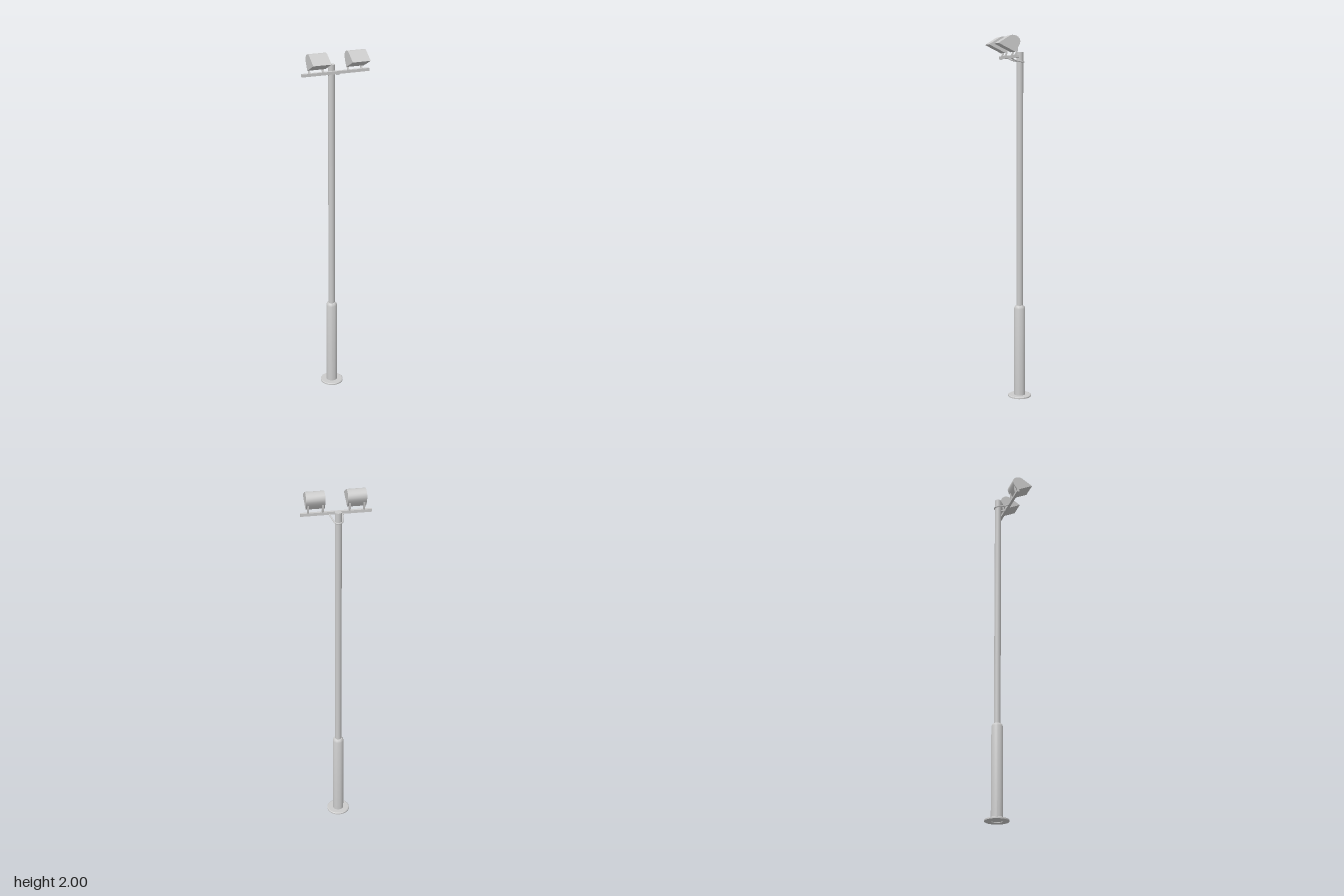
import * as THREE from 'three';
import { toCreasedNormals } from 'three/addons/utils/BufferGeometryUtils.js';

const POLE_Z = -0.047;
const material = new THREE.MeshStandardMaterial({ color: 0xcccccc, side: THREE.DoubleSide });
const v2 = (x, y) => new THREE.Vector2(x, y);
const v3 = (x, y, z) => new THREE.Vector3(x, y, z);

function add(parent, name, geometry, x = 0, y = 0, z = 0) {
  const mesh = new THREE.Mesh(geometry, material);
  mesh.name = name;
  mesh.position.set(x, y, z);
  parent.add(mesh);
  return mesh;
}

const turned = (points, sides) => toCreasedNormals(new THREE.LatheGeometry(points.map(p => v2(...p)), sides), 0.5);

// Extrudes a (z, y) profile along x, centred on x = 0
function sideExtrude(shape, width) {
  const g = new THREE.ExtrudeGeometry(shape, { depth: width, bevelEnabled: false, curveSegments: 6 });
  g.rotateY(-Math.PI / 2).translate(width / 2, 0, 0);
  return toCreasedNormals(g, 0.6);
}

function floodlight(side) {
  const lamp = new THREE.Group();
  lamp.name = side > 0 ? 'leftFloodlight' : 'rightFloodlight';
  lamp.position.x = side * 0.1055;

  // Wedge housing: flat sloping hood, rounded back, tilted lens face
  const profile = new THREE.Shape();
  profile.moveTo(0.02, 1.912);
  profile.lineTo(0.11, 1.957);
  profile.lineTo(0.047, 1.996);
  profile.bezierCurveTo(0.03, 2.005, -0.007, 1.994, -0.007, 1.966);
  profile.bezierCurveTo(-0.007, 1.95, 0.012, 1.925, 0.02, 1.912);
  add(lamp, 'housing', sideExtrude(profile, 0.097));

  // Curved straps joining the housing to the crossbar
  const strap = new THREE.Shape();
  strap.moveTo(0.022, 1.889);
  strap.lineTo(0.022, 1.897);
  strap.quadraticCurveTo(0.012, 1.91, 0.012, 1.93);
  strap.lineTo(0.003, 1.942);
  strap.quadraticCurveTo(0.004, 1.91, 0.012, 1.889);
  for (const s of [-1, 1]) add(lamp, 'mountingStrap', sideExtrude(strap, 0.009), s * 0.037);
  return lamp;
}

export function createModel() {
  const model = new THREE.Group();
  model.name = 'floodlightPole';

  // Base flange with a central hole
  add(model, 'baseFlange', turned([[0.031, 0], [0.065, 0], [0.065, 0.007], [0.06, 0.01], [0.03, 0.01], [0.031, 0]], 20), 0, 0, POLE_Z);

  // Thick lower column with a rounded shoulder
  add(model, 'lowerColumn', turned([[0, 0.004], [0.031, 0.004], [0.031, 0.506], [0.028, 0.516], [0.023, 0.522], [0.017, 0.524]], 24), 0, 0, POLE_Z);

  // Slender upper pole
  add(model, 'upperPole', new THREE.CylinderGeometry(0.018, 0.018, 1.4, 20), 0, 1.215, POLE_Z);

  // Crossbar carrying both lamps
  add(model, 'crossbar', new THREE.BoxGeometry(0.366, 0.015, 0.015), 0, 1.888, 0.015);

  // U-shaped rod wrapping behind the pole and rising to the crossbar
  const path = [v3(-0.036, 1.884, 0.012), v3(-0.029, 1.873, -0.01)];
  for (let i = 0; i <= 8; i++) {
    const a = Math.PI * i / 8;
    path.push(v3(-0.021 * Math.cos(a), 1.865 - 0.002 * Math.sin(a), POLE_Z - 0.021 * Math.sin(a)));
  }
  path.push(v3(0.029, 1.873, -0.01), v3(0.036, 1.884, 0.012));
  add(model, 'poleClamp', new THREE.TubeGeometry(new THREE.CatmullRomCurve3(path), 48, 0.004, 8));

  for (const side of [-1, 1]) model.add(floodlight(side));
  return model;
}
